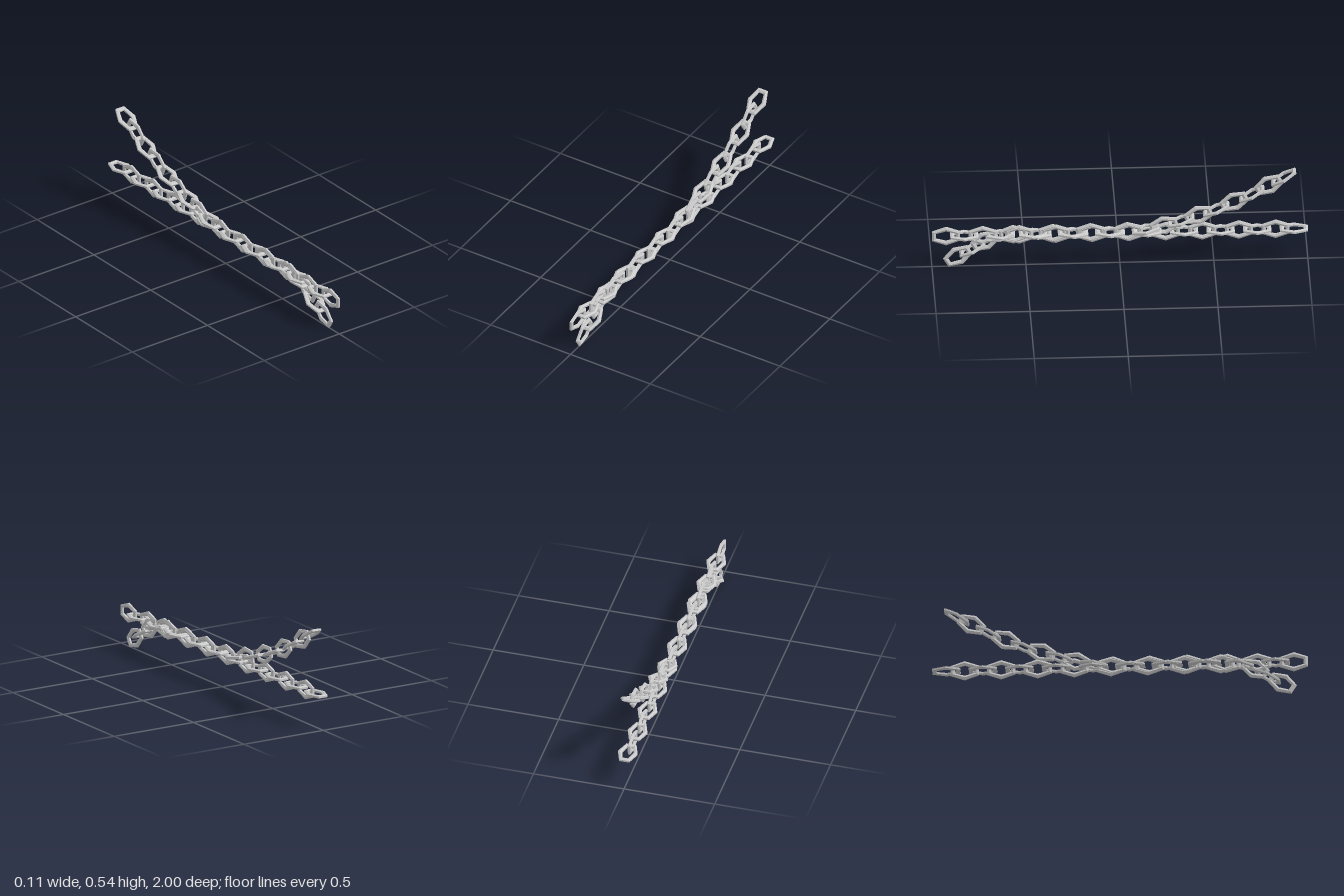
import * as THREE from 'three';

// One hexagonal link lying flat, long along z, with a six-sided bar section
function makeLinkGeometry() {
  const outer = [[0.0545, 0], [0.0275, 0.075]];
  const inner = [[0.0305, 0], [0.016, 0.052]];
  const halfThick = 0.0098;
  const sides = 6;
  const positions = [];
  const indices = [];
  for (let k = 0; k < 6; k++) {
    const a = (k * Math.PI) / 3;
    const sx = Math.sign(Math.cos(a));
    const c = k % 3 === 0 ? 0 : 1;
    const sz = c * Math.sign(Math.sin(a));
    for (let j = 0; j < sides; j++) {
      // flat faces on the outer and inner rims, ridges above and below
      const t = ((j - 0.5) / sides) * Math.PI * 2;
      const u = 0.5 + (0.5 * Math.cos(t)) / Math.cos(Math.PI / sides);
      positions.push(
        sx * THREE.MathUtils.lerp(inner[c][0], outer[c][0], u),
        halfThick * Math.sin(t),
        sz * THREE.MathUtils.lerp(inner[c][1], outer[c][1], u)
      );
      const j2 = (j + 1) % sides;
      const k2 = (k + 1) % 6;
      const p = k * sides + j, q = k * sides + j2;
      const s = k2 * sides + j, w = k2 * sides + j2;
      indices.push(p, q, s, q, w, s);
    }
  }
  const indexed = new THREE.BufferGeometry();
  indexed.setAttribute('position', new THREE.Float32BufferAttribute(positions, 3));
  indexed.setIndex(indices);
  const geometry = indexed.toNonIndexed();
  geometry.computeVertexNormals();
  return geometry;
}

// Places links as [z, y, tilt in degrees]; every other one is turned on edge
function makeChain(name, places, geometry, material) {
  const chain = new THREE.Group();
  chain.name = name;
  places.forEach(([z, y, tilt], i) => {
    const link = new THREE.Mesh(geometry, material);
    link.name = 'link';
    link.position.set(0, y, z);
    link.rotation.set(THREE.MathUtils.degToRad(tilt), 0, i % 2 === 0 ? Math.PI / 2 : 0);
    chain.add(link);
  });
  return chain;
}

export function createModel() {
  const model = new THREE.Group();
  model.name = 'chains';
  const material = new THREE.MeshStandardMaterial({ color: 0xcccccc, flatShading: true });
  const geometry = makeLinkGeometry();

  // Straight chain
  const straight = [];
  for (let i = 0; i < 20; i++) straight.push([0.925 - i * 0.0974, 0.183, 0]);
  model.add(makeChain('straightChain', straight, geometry, material));

  // Bent chain: hangs at the front, runs level, then rises at the back
  const bent = [
    [0.862, 0.06, 31], [0.785, 0.101, 27], [0.718, 0.148, 28], [0.64, 0.176, 14],
    [0.568, 0.185, 4], [0.462, 0.186, 0], [0.358, 0.186, 0], [0.255, 0.186, 0],
    [0.157, 0.186, 0], [0.057, 0.186, 0], [-0.041, 0.188, 4], [-0.138, 0.197, 11],
    [-0.234, 0.219, 15], [-0.325, 0.245, 19], [-0.418, 0.278, 20], [-0.513, 0.311, 23],
    [-0.608, 0.356, 25], [-0.702, 0.399, 29], [-0.792, 0.453, 29], [-0.871, 0.498, 31],
  ];
  model.add(makeChain('bentChain', bent, geometry, material));

  return model;
}
